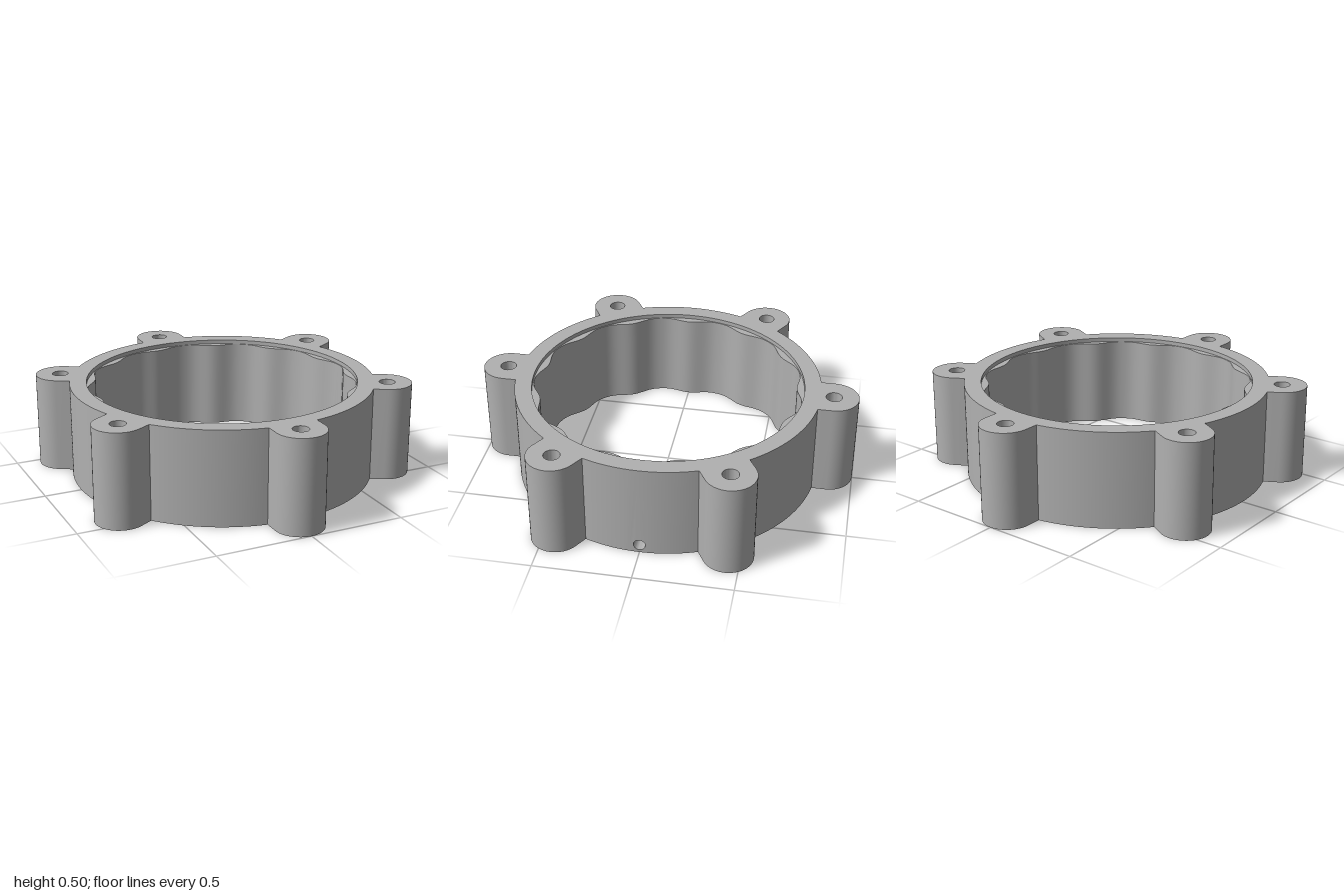
import * as THREE from 'three';
import { mergeGeometries, toCreasedNormals } from 'three/addons/utils/BufferGeometryUtils.js';

const H = 0.5, LEDGE = 0.478;                      // full height, height of the recessed ledge
const R = 0.805, RECESS = 0.716;                   // outer wall and top recess radii
const BOSS_AT = 0.87, BOSS = 0.13, BOLT = 0.042;   // bolt bosses
const PORT_Y = 0.045, PORT = 0.03;                 // small radial port on the +x side
const LOBES = 13, STEPS = LOBES * 24;
const NECK = Math.asin(BOSS / R);
const OUTER_HALF = (Math.PI / 6 - NECK) / 6, INNER_HALF = 3 * 2 * Math.PI / STEPS;

const polar = (r, a) => new THREE.Vector2(r * Math.cos(a), r * Math.sin(a));
const at = (p, y) => new THREE.Vector3(p.x, y, -p.y);
const boreRadius = a => 0.711 - 0.035 * Math.pow((1 - Math.cos(LOBES * a)) / 2, 1.3);

// Closed plan loop, counterclockwise from above
function loop(n, radius, centre = new THREE.Vector2()) {
  return Array.from({ length: n }, (_, i) => {
    const a = i / n * 2 * Math.PI;
    return polar(radius(a), a).add(centre);
  });
}

// Ring outline with six straight-necked round bosses
function outline() {
  const pts = [];
  for (let k = 0; k < 6; k++) {
    const t = Math.PI / 6 + k * Math.PI / 3, c = polar(BOSS_AT, t);
    for (let i = 0; i <= 24; i++) pts.push(polar(BOSS, t - Math.PI / 2 + i / 24 * Math.PI).add(c));
    for (let i = 0; i <= 24; i++) pts.push(polar(R, t + NECK + i / 24 * (Math.PI / 3 - 2 * NECK)));
  }
  return pts;
}

// Quads between two closed loops, leaving out those where skip is true
function loft(a, b, skip = () => false) {
  const pos = [];
  for (let i = 0; i < a.length; i++) {
    const j = (i + 1) % a.length;
    if (skip(a[i], a[j])) continue;
    for (const v of [a[i], a[j], b[j], a[i], b[j], b[i]]) pos.push(v.x, v.y, v.z);
  }
  return new THREE.BufferGeometry().setAttribute('position', new THREE.Float32BufferAttribute(pos, 3));
}

const wall = (pts, y0, y1, skip) => loft(pts.map(p => at(p, y0)), pts.map(p => at(p, y1)), skip);

// Gap in a wall where the port panel sits
const portGap = half => (p, q) => {
  const a = Math.atan2(-(p.z + q.z) / 2, (p.x + q.x) / 2);
  return Math.abs(a) < half * 0.99;
};

// Outline of the port on a wall of the given radius, as (angle, height)
const portLoop = r => loop(32, () => PORT).map(p => new THREE.Vector2(p.x / r, PORT_Y + p.y));

// Wall panel with the port cut out, bent to the wall's radius
function portPanel(half, n, top, radius, inward) {
  const edge = Array.from({ length: n + 1 }, (_, i) => -half + 2 * half * i / n);
  const shape = new THREE.Shape([
    ...edge.map(a => new THREE.Vector2(a, 0)),
    ...edge.slice().reverse().map(a => new THREE.Vector2(a, top)),
  ]);
  shape.holes.push(new THREE.Path(portLoop(radius(0))));
  const g = new THREE.ShapeGeometry(shape);
  const pos = g.attributes.position;
  for (let i = 0; i < pos.count; i++) {
    const a = pos.getX(i), p = polar(radius(a), a);
    pos.setXYZ(i, p.x, pos.getY(i), -p.y);
  }
  if (inward) g.index.array.reverse();
  return bare(g);
}

function bare(g) {
  g.deleteAttribute('uv');
  g.deleteAttribute('normal');
  return g.index ? g.toNonIndexed() : g;
}

// Flat face with holes
function face(pts, holes, y, down = false) {
  const shape = new THREE.Shape(pts);
  shape.holes = holes.map(h => new THREE.Path(h));
  const g = new THREE.ShapeGeometry(shape).rotateX(-Math.PI / 2).translate(0, y, 0);
  if (down) g.index.array.reverse();
  return bare(g);
}

export function createModel() {
  const model = new THREE.Group();
  model.name = 'lobedRingHousing';
  const metal = new THREE.MeshStandardMaterial({ color: 0xb0b0b0 });
  metal.name = 'plain grey metal';
  const add = (name, ...parts) => {
    const mesh = new THREE.Mesh(toCreasedNormals(mergeGeometries(parts), 0.5), metal);
    mesh.name = name;
    model.add(mesh);
  };

  const outer = outline();
  const bore = loop(STEPS, boreRadius);
  const recess = loop(128, () => RECESS);
  const bolts = Array.from({ length: 6 }, (_, k) =>
    loop(32, () => BOLT, polar(BOSS_AT, Math.PI / 6 + k * Math.PI / 3)));

  // Outside wall and lobed bore, each with its port panel
  add('outerWall', wall(outer, 0, H, portGap(OUTER_HALF)),
    portPanel(OUTER_HALF, 4, H, () => R, false));
  add('lobedBore', wall(bore, LEDGE, 0, portGap(INNER_HALF)),
    portPanel(INNER_HALF, 6, LEDGE, boreRadius, true));

  // Flat faces and the shallow recess in the top
  add('topFace', face(outer, [recess, ...bolts], H));
  add('bottomFace', face(outer, [bore, ...bolts], 0, true));
  add('topRecess', wall(recess, H, LEDGE), face(recess, [bore], LEDGE));

  // Bolt holes through the bosses
  add('boltHoles', ...bolts.map(b => wall(b, H, 0)));

  // Radial port through the side wall
  const rim = radius => portLoop(radius(0)).map(p => at(polar(radius(p.x), p.x), p.y));
  add('radialPort', loft(rim(() => R), rim(boreRadius)));

  return model;
}
